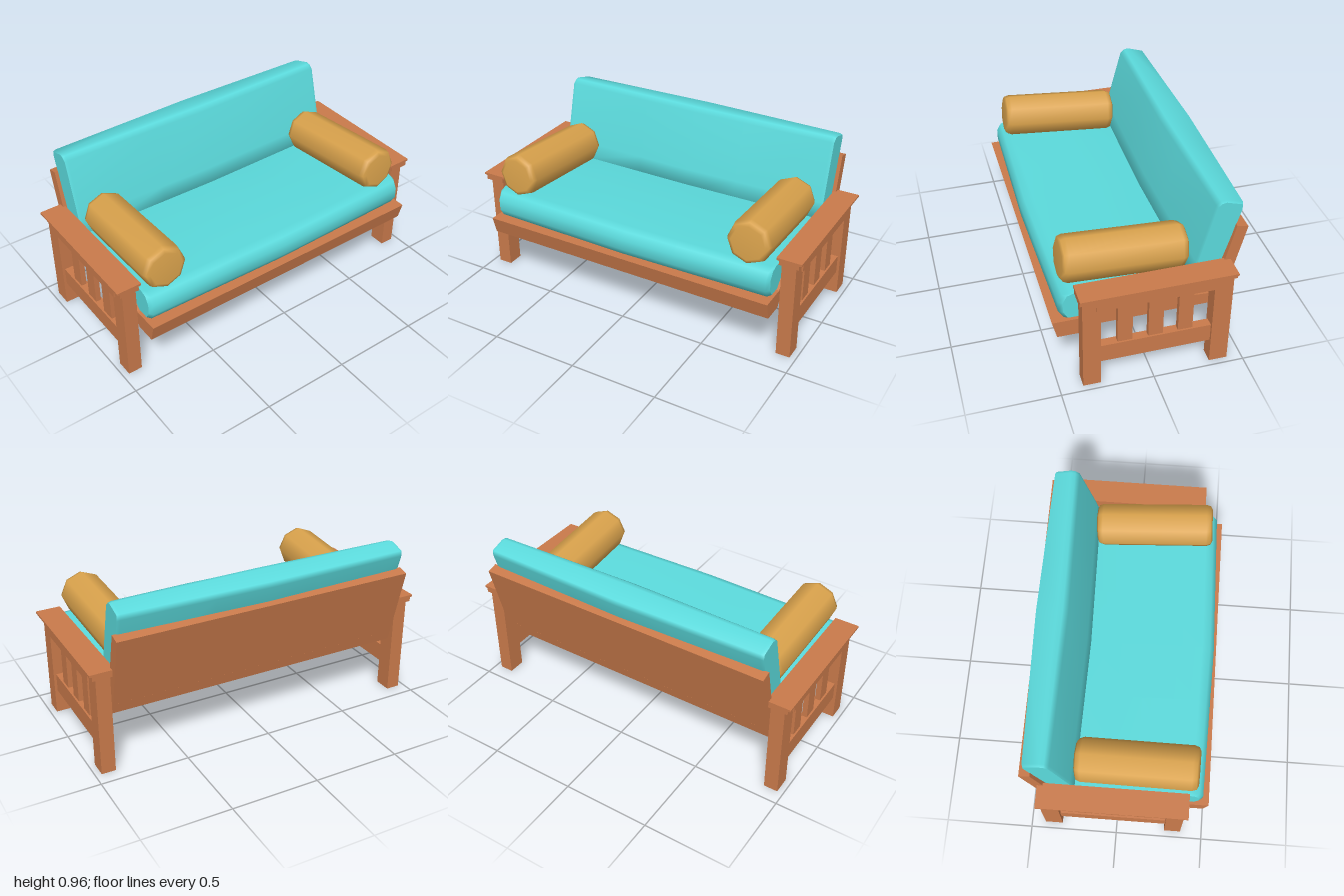
import * as THREE from 'three';

const wood = new THREE.MeshStandardMaterial({ color: 0xc97a4b });
const fabric = new THREE.MeshStandardMaterial({ color: 0x5bdadc });
const gold = new THREE.MeshStandardMaterial({ color: 0xd9a24c });

function add(parent, name, geometry, material) {
  const mesh = new THREE.Mesh(geometry, material);
  mesh.name = name;
  parent.add(mesh);
  return mesh;
}

// Box given by its limits on each axis
function bar(parent, name, [x0, x1], [y0, y1], [z0, z1]) {
  const g = new THREE.BoxGeometry(x1 - x0, y1 - y0, z1 - z0);
  g.translate((x0 + x1) / 2, (y0 + y1) / 2, (z0 + z1) / 2);
  return add(parent, name, g, wood);
}

// Side outline in (z, y), extruded across the full width
function sidePanel(parent, name, outline, halfWidth) {
  const shape = new THREE.Shape(outline.map(([z, y]) => new THREE.Vector2(-z, y)));
  const g = new THREE.ExtrudeGeometry(shape, { depth: halfWidth * 2, bevelEnabled: false });
  g.translate(0, 0, -halfWidth);
  g.rotateY(Math.PI / 2);
  return add(parent, name, g, wood);
}

// Soft cushion: one (z, y) section swept along x, thinner towards its ends.
// midZ(y) is the line the section thins towards.
function cushion(parent, name, section, halfWidth, endScale, midZ) {
  const n = section.length;
  const cy = section.reduce((s, p) => s + p[1], 0) / n;
  const xs = [-1, -0.98, -0.37, 0, 0.37, 0.98, 1].map((f) => f * halfWidth);
  const pos = [], index = [];
  const ring = (x) => {
    const t = Math.abs(x) / halfWidth;
    const inset = t > 0.99 ? 0.94 : 1;
    for (const [z, y] of section) {
      const ny = cy + (y - cy) * (t > 0.99 ? 0.97 : 1);
      const k = THREE.MathUtils.lerp(1, endScale, t) * inset;
      pos.push(x, ny, midZ(ny) + (z - midZ(y)) * k);
    }
  };
  xs.forEach(ring);
  for (let i = 0; i < xs.length - 1; i++) {
    for (let j = 0; j < n; j++) {
      const a = i * n + j, b = i * n + (j + 1) % n;
      index.push(a, b, a + n, b, b + n, a + n);
    }
  }
  // End caps with their own corners
  for (const s of [-1, 1]) {
    const start = pos.length / 3;
    ring(s * halfWidth);
    pos.push(s * halfWidth, cy, midZ(cy));
    for (let j = 0; j < n; j++) {
      const a = start + j, b = start + (j + 1) % n;
      index.push(start + n, s > 0 ? a : b, s > 0 ? b : a);
    }
  }
  const g = new THREE.BufferGeometry();
  g.setAttribute('position', new THREE.Float32BufferAttribute(pos, 3));
  g.setIndex(index);
  g.computeVertexNormals();
  return add(parent, name, g, fabric);
}

// Slatted end frame on the +x side
function endFrame() {
  const g = new THREE.Group();
  bar(g, 'frontLeg', [0.885, 0.965], [0, 0.57], [0.28, 0.375]);
  bar(g, 'backLeg', [0.885, 0.965], [0, 0.57], [-0.42, -0.32]);
  bar(g, 'upperRail', [0.88, 0.974], [0.507, 0.57], [-0.325, 0.303]);
  bar(g, 'lowerRail', [0.9, 0.95], [0.138, 0.245], [-0.32, 0.28]);
  for (const z of [0.145, -0.02, -0.181]) {
    bar(g, 'slat', [0.91, 0.94], [0.24, 0.51], [z - 0.04, z + 0.04]);
  }
  // Arm board, wider along its top edge
  const profile = [[0.875, 0.57], [0.985, 0.57], [0.985, 0.594], [1, 0.597], [1, 0.608], [0.86, 0.608], [0.86, 0.597], [0.875, 0.594]];
  const board = new THREE.ExtrudeGeometry(
    new THREE.Shape(profile.map(([x, y]) => new THREE.Vector2(x, y))),
    { depth: 0.823, bevelEnabled: false });
  board.translate(0, 0, -0.43);
  add(g, 'armBoard', board, wood);
  return g;
}

// Eight-sided bolster pillow lying front to back on the seat
function bolster(parent, name, xFront, xBack) {
  const L = 0.67, R = 0.125;
  const profile = [[0, 0], [0.095, 0], [0.116, 0.01], [R, 0.035], [R, L - 0.035], [0.116, L - 0.01], [0.095, L], [0, L]];
  const g = new THREE.LatheGeometry(profile.map(([r, y]) => new THREE.Vector2(r, y - L / 2)), 8);
  const mesh = add(parent, name, g, gold);
  const front = new THREE.Vector3(xFront, 0.669, 0.44), back = new THREE.Vector3(xBack, 0.62, -0.235);
  mesh.position.copy(front).add(back).multiplyScalar(0.5);
  const dir = front.sub(back);
  mesh.rotation.set(Math.PI / 2 - Math.atan2(dir.y, dir.z), 0, -Math.atan2(dir.x, dir.z));
  return mesh;
}

export function createModel() {
  const model = new THREE.Group();
  model.name = 'sofa';

  // Mirrored end frames
  for (const side of [1, -1]) {
    const frame = endFrame();
    frame.name = side > 0 ? 'leftEndFrame' : 'rightEndFrame';
    if (side < 0) frame.rotation.y = 0;
    frame.scale.x = side;
    model.add(frame);
  }

  // Seat deck with front lip, and leaning back panel
  sidePanel(model, 'seatDeck', [
    [0.51, 0.392], [0.485, 0.293], [0.37, 0.293], [0.34, 0.335],
    [-0.395, 0.335], [-0.41, 0.395], [0.31, 0.442], [0.36, 0.392]], 0.875);
  sidePanel(model, 'backPanel', [
    [-0.45, 0.815], [-0.51, 0.8], [-0.395, 0.335], [-0.335, 0.35]], 0.875);

  cushion(model, 'seatCushion', [
    [-0.25, 0.508], [0.1, 0.533], [0.42, 0.556], [0.465, 0.542], [0.49, 0.5],
    [0.49, 0.44], [0.462, 0.395], [0.36, 0.394], [-0.3, 0.39], [-0.31, 0.48]],
  0.86, 0.95, () => 0.1);

  cushion(model, 'backCushion', [
    [-0.5, 0.933], [-0.385, 0.96], [-0.355, 0.956], [-0.325, 0.935],
    [-0.237, 0.6], [-0.21, 0.47], [-0.36, 0.44], [-0.503, 0.9]],
  0.855, 0.8, (y) => -0.41 + (0.93 - y) * 0.25);

  bolster(model, 'leftBolster', 0.717, 0.7);
  bolster(model, 'rightBolster', -0.732, -0.717);
  return model;
}
